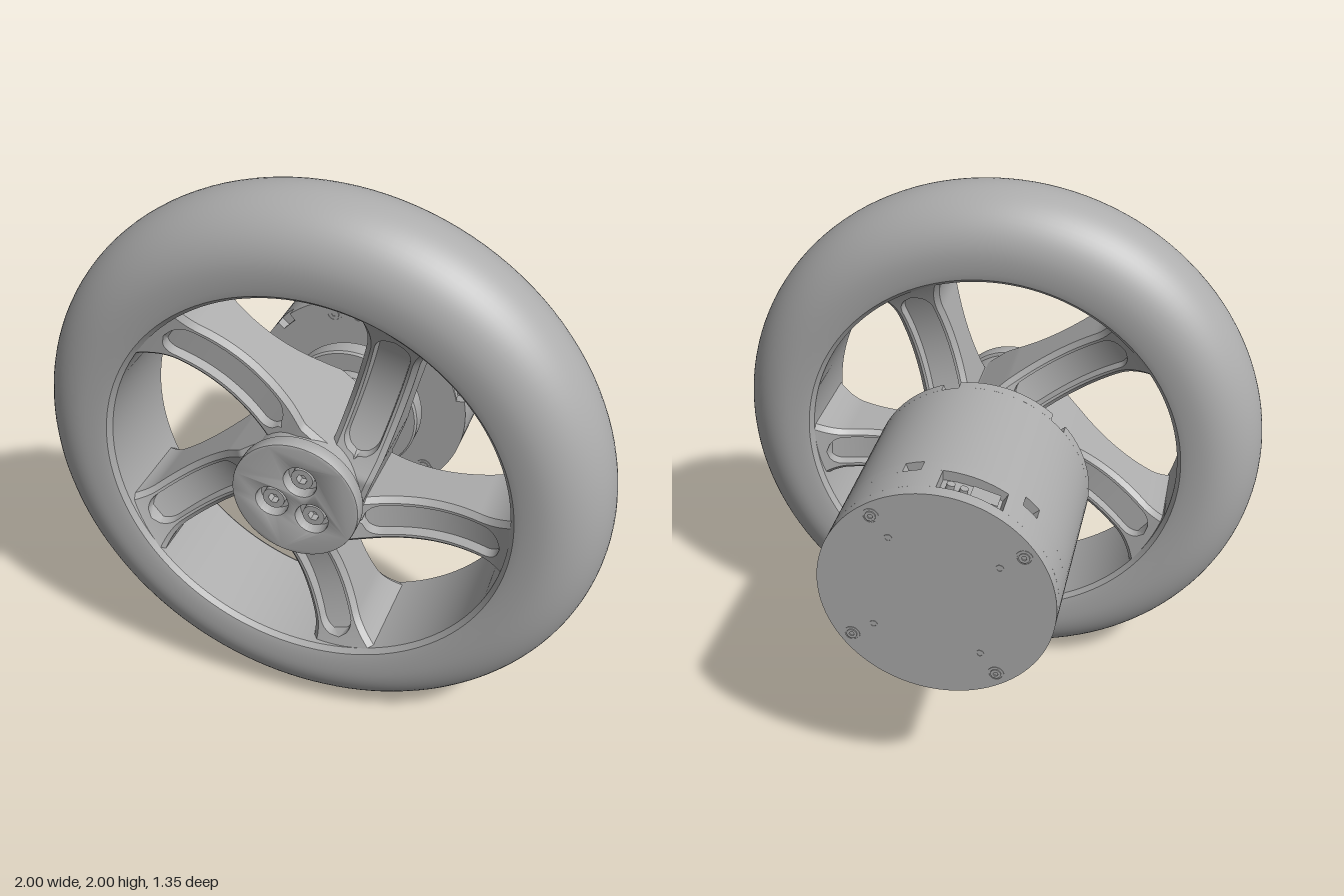
import * as THREE from 'three';
import { toCreasedNormals } from 'three/addons/utils/BufferGeometryUtils.js';

const metal = new THREE.MeshStandardMaterial({ color: 0xadadad });
metal.name = 'satin grey';
const rad = THREE.MathUtils.degToRad;

function add(parent, geometry, name, x = 0, y = 0, z = 0) {
  const mesh = new THREE.Mesh(toCreasedNormals(geometry, 0.6), metal);
  mesh.name = name;
  mesh.position.set(x, y, z);
  parent.add(mesh);
  return mesh;
}

// Turned part around the z axle; profile is [radius, z] pairs, rear to front
function turned(profile, segments = 96) {
  const points = profile.map(([r, z]) => new THREE.Vector2(r, z));
  return new THREE.LatheGeometry(points, segments).rotateX(Math.PI / 2);
}

function extruded(shape, z0, z1, curveSegments = 24) {
  const g = new THREE.ExtrudeGeometry(shape, { depth: z1 - z0, bevelEnabled: false, curveSegments });
  return g.translate(0, 0, z0);
}

// Screw head with a hexagonal socket, facing +z
function screwGeometry(r, height) {
  const shape = new THREE.Shape().absarc(0, 0, r, 0, Math.PI * 2);
  const hex = [];
  for (let i = 0; i < 6; i++) {
    hex.push(new THREE.Vector2(Math.cos(i * Math.PI / 3), Math.sin(i * Math.PI / 3)).multiplyScalar(r * 0.5));
  }
  shape.holes.push(new THREE.Path(hex));
  return extruded(shape, 0, height, 12);
}

// Flat ring used around screw seats and small holes
function ringGeometry(outer, inner, height) {
  const shape = new THREE.Shape().absarc(0, 0, outer, 0, Math.PI * 2);
  shape.holes.push(new THREE.Path().absarc(0, 0, inner, 0, Math.PI * 2, true));
  return extruded(shape, 0, height, 14);
}

// Curved spoke: lofted along x, hollowed by a round-ended channel front and back
function spokeGeometry() {
  const s0 = 0.03, s1 = 0.715, steps = 64, c = 0.018, mid = 0.408;
  const pos = [], index = [];
  for (let i = 0; i <= steps; i++) {
    const s = s0 + (s1 - s0) * i / steps;
    const w = 0.075 + 0.013 * Math.min(1, s / 0.2) + 0.05 * Math.max(0, (s - 0.58) / 0.135) ** 2;
    const h = Math.min(0.19, 0.1 + 0.09 * ((s - 0.42) / 0.29) ** 2);
    const past = Math.max(0, 0.25 - s, s - 0.6);
    const p = past < 0.06 ? Math.sqrt(0.0036 - past * past) : 0.001;
    const d = past < 0.06 ? 0.035 : 0;
    const half = [[w, h - c], [w - c, h], [p, h], [p * 0.9, h - d],
      [-p * 0.9, h - d], [-p, h], [c - w, h], [-w, h - c]];
    const ring = [...half, ...half.map(([n, z]) => [-n, -z])];
    ring.forEach(([n, z]) => pos.push(s, n - 0.125, z + mid));
  }
  const m = 16;
  for (let i = 0; i < steps; i++) {
    for (let j = 0; j < m; j++) {
      const a = i * m + j, b = i * m + (j + 1) % m;
      index.push(a, b, b + m, a, b + m, a + m);
    }
  }
  const g = new THREE.BufferGeometry();
  g.setAttribute('position', new THREE.Float32BufferAttribute(pos, 3));
  g.setIndex(index);
  return g;
}

function buildWheel() {
  const wheel = new THREE.Group();
  wheel.name = 'wheel';

  // Tyre: round tread with a flat inner bore
  const profile = [[0.70, 0.225], [0.715, 0.207], [0.74, 0.201]];
  for (let i = 0; i <= 32; i++) {
    const a = -Math.PI / 2 + Math.PI * i / 32;
    profile.push([0.7925 + 0.2075 * Math.cos(a), 0.408 + 0.2075 * Math.sin(a)]);
  }
  profile.push([0.74, 0.615], [0.715, 0.609], [0.70, 0.591], [0.70, 0.225]);
  add(wheel, turned(profile, 128), 'tyre');

  // Five offset spokes
  const spoke = spokeGeometry();
  for (let i = 0; i < 5; i++) add(wheel, spoke, 'spoke').rotation.z = rad(2 + 72 * i);

  // Hub, neck and mounting flange
  add(wheel, turned([[0, 0.035], [0.225, 0.035], [0.225, 0.052], [0.238, 0.052], [0.245, 0.06],
    [0.245, 0.118], [0.238, 0.126], [0.17, 0.126], [0.153, 0.14], [0.15, 0.16], [0.15, 0.2],
    [0.165, 0.22], [0.205, 0.26], [0.205, 0.628], [0, 0.628]]), 'hub');

  // Front cap with three recessed screws
  const seats = [75, 195, 315].map((a) => [0.083 * Math.cos(rad(a)), 0.083 * Math.sin(rad(a))]);
  const capShape = new THREE.Shape().absarc(0, 0, 0.214, 0, Math.PI * 2);
  seats.forEach(([x, y]) => capShape.holes.push(new THREE.Path().absarc(x, y, 0.062, 0, Math.PI * 2, true)));
  const cap = new THREE.ExtrudeGeometry(capShape, {
    depth: 0.043, bevelThickness: 0.006, bevelSize: 0.006, bevelSegments: 2, curveSegments: 40,
  });
  add(wheel, cap, 'hubCap', 0, 0, 0.626);
  const capScrew = screwGeometry(0.038, 0.03);
  seats.forEach(([x, y]) => add(wheel, capScrew, 'hubScrew', x, y, 0.627));
  return wheel;
}

function buildMotor() {
  const motor = new THREE.Group();
  motor.name = 'motor';
  const R = 0.4, inner = 0.35;
  add(motor, turned([[0, -0.66], [0.365, -0.66], [0.365, 0.036], [0, 0.036]]), 'motorCore');

  // Housing in bands; each gap is [centre angle, half angle]
  const vents = [15, 75, 135, 195, 255, 315].map((a) => [a, 4.6]);
  const ports = [[106, 16], [296, 13]];
  const bands = [
    [-0.675, -0.63, []], [-0.63, -0.535, ports], [-0.535, -0.487, vents],
    [-0.487, 0, []], [0, 0.04, vents],
  ];
  bands.forEach(([z0, z1, gaps]) => {
    if (!gaps.length) {
      add(motor, turned([[0, z0], [R, z0], [R, z1], [0, z1]]), 'housing');
      return;
    }
    gaps.forEach(([angle, half], i) => {
      const [next, nextHalf] = gaps[(i + 1) % gaps.length];
      const a0 = rad(angle + half);
      const a1 = rad((next <= angle ? next + 360 : next) - nextHalf);
      const shape = new THREE.Shape().absarc(0, 0, R, a0, a1, false);
      shape.absarc(0, 0, inner, a1, a0, true);
      add(motor, extruded(shape, z0, z1, 40), 'housingSegment');
    });
  });

  // Plugs inside the connector ports
  ports.forEach(([angle, half]) => {
    const holder = new THREE.Group();
    holder.name = 'connector';
    holder.rotation.z = rad(angle);
    const width = 2 * R * Math.sin(rad(half));
    add(holder, new THREE.BoxGeometry(0.03, width * 0.42, 0.06), 'plug', 0.367, width * 0.2, -0.583);
    [-0.12, -0.32].forEach((t) => {
      add(holder, new THREE.CylinderGeometry(0.014, 0.014, 0.03, 16).rotateZ(Math.PI / 2), 'pin',
        0.367, width * t, -0.583);
    });
    motor.add(holder);
  });

  // Screws and small holes on the rear face, turned to face -z
  const screw = screwGeometry(0.018, 0.005);
  const seat = ringGeometry(0.028, 0.023, 0.003);
  const hole = ringGeometry(0.014, 0.009, 0.003);
  [55, 145, 235, 325].forEach((a) => {
    const x = Math.cos(rad(a)), y = Math.sin(rad(a));
    add(motor, screw, 'rearScrew', 0.355 * x, 0.355 * y, -0.674).rotation.y = Math.PI;
    add(motor, seat, 'rearScrewSeat', 0.355 * x, 0.355 * y, -0.674).rotation.y = Math.PI;
    add(motor, hole, 'rearHole', 0.26 * x, 0.26 * y, -0.674).rotation.y = Math.PI;
  });

  // Front face disc and its screws
  add(motor, turned([[0, 0.03], [0.37, 0.03], [0.37, 0.04], [0, 0.04]]), 'frontPlate');
  [75, 90, 105, 165, 224, 285, 316].forEach((a) => {
    const x = 0.35 * Math.cos(rad(a)), y = 0.35 * Math.sin(rad(a));
    add(motor, screw, 'frontScrew', x, y, 0.039);
    add(motor, seat, 'frontScrewSeat', x, y, 0.039);
  });
  return motor;
}

export function createModel() {
  const model = new THREE.Group();
  model.name = 'motorWheel';
  const axle = new THREE.Group();
  axle.name = 'axleAssembly';
  axle.position.y = 1;
  axle.add(buildWheel(), buildMotor());
  model.add(axle);
  return model;
}
